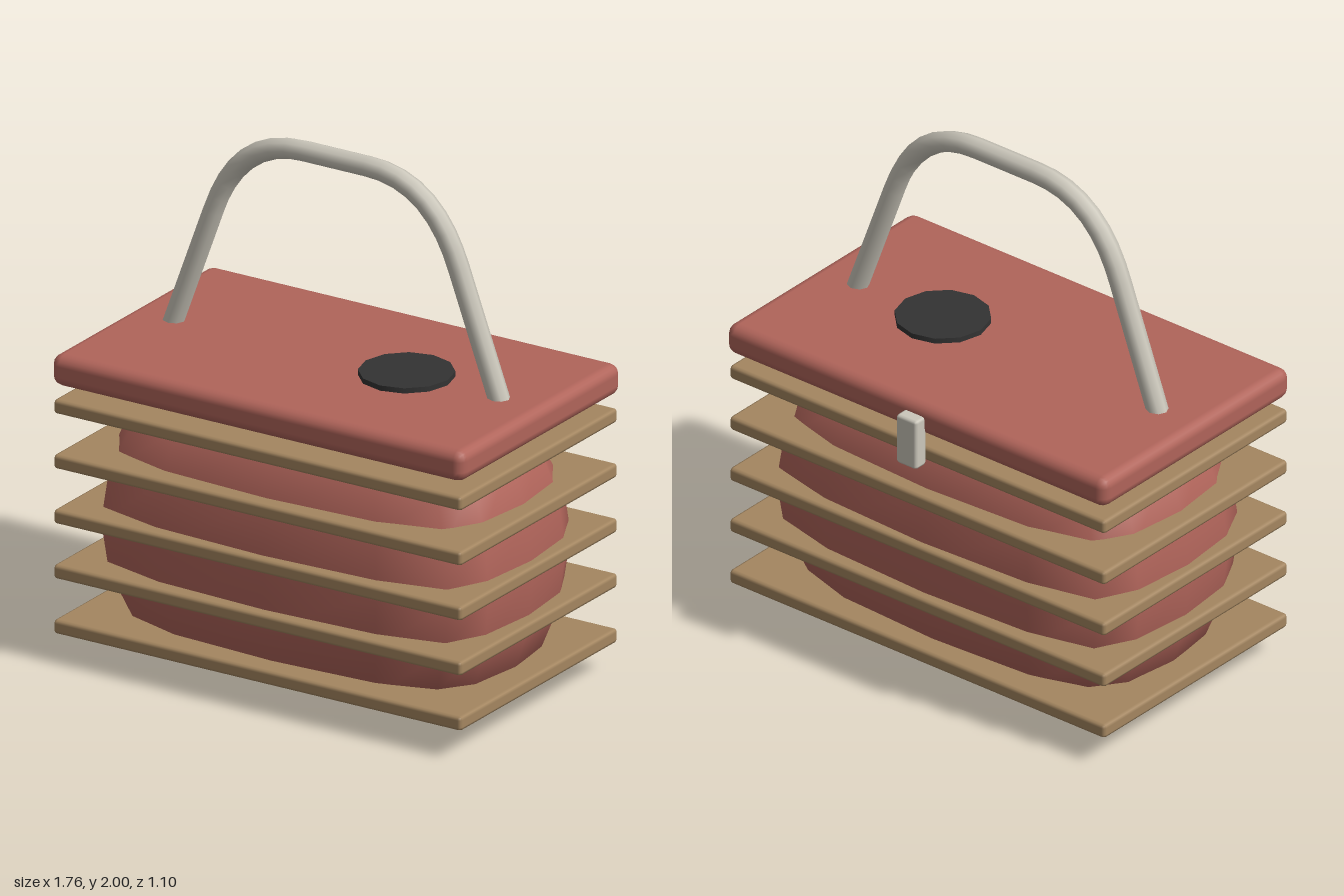
import * as THREE from 'three';
import { mergeVertices } from 'three/addons/utils/BufferGeometryUtils.js';
import { RoundedBoxGeometry } from 'three/addons/geometries/RoundedBoxGeometry.js';

const CZ = 0.022; // depth of the basket's centre

function material(name, color) {
  const m = new THREE.MeshStandardMaterial({ color });
  m.name = name;
  return m;
}

// Puffy box: a coarse cube grid whose edges and corners are drawn inward
function puffyBox(hx, hy, hz) {
  let g = new THREE.BoxGeometry(2, 2, 2, 4, 4, 4);
  g.deleteAttribute('normal');
  g.deleteAttribute('uv');
  g = mergeVertices(g);
  const p = g.attributes.position;
  const spread = (v, mid) => (Math.abs(v) > 0.4 && Math.abs(v) < 0.6 ? Math.sign(v) * mid : v);
  const pull = (k, a, b) => (1 - k * a * a) * (1 - k * b * b);
  for (let i = 0; i < p.count; i++) {
    const x = p.getX(i), y = p.getY(i), z = p.getZ(i);
    p.setXYZ(i,
      hx * spread(x, 0.64) * pull(0.12, y, z),
      hy * spread(y, 0.52) * pull(0.17, x, z),
      hz * spread(z, 0.62) * pull(0.17, x, y));
  }
  g.computeVertexNormals();
  return g;
}

export function createModel() {
  const group = new THREE.Group();
  const red = material('red', 0xb0645a);
  const wood = material('wood', 0xa48660);
  const pale = material('pale grey', 0xcbc7bb);
  const dark = material('charcoal', 0x333333);

  const add = (name, geometry, mat, x, y, z) => {
    const mesh = new THREE.Mesh(geometry, mat);
    mesh.name = name;
    mesh.position.set(x, y, z);
    group.add(mesh);
    return mesh;
  };

  // Body and lid
  add('body', puffyBox(0.84, 0.535, 0.488), red, 0, 0.539, CZ);
  add('lid', new RoundedBoxGeometry(1.76, 0.12, 1.055, 2, 0.04), red, 0, 1.13, CZ);

  // Flat plates stacked around the body
  for (let i = 0; i < 5; i++) {
    add('slat' + (i + 1), new RoundedBoxGeometry(1.74, 0.055, 1.035, 1, 0.014), wood, 0, 0.142 + i * 0.212, CZ + 0.003);
  }

  // Round patch on the lid
  add('lidDisc', new THREE.CylinderGeometry(0.175, 0.175, 0.03, 12), dark, 0.3, 1.195, 0.02);

  // Latch at the back
  add('latch', new RoundedBoxGeometry(0.095, 0.2, 0.06, 1, 0.012), pale, 0, 1.05, -0.523);

  // Carrying handle: straight legs joined by rounded shoulders
  const v = (x, y) => new THREE.Vector3(x, y, 0);
  const path = new THREE.CurvePath();
  path.add(new THREE.LineCurve3(v(-0.755, 1.02), v(-0.52, 1.66)));
  path.add(new THREE.CubicBezierCurve3(v(-0.52, 1.66), v(-0.45, 1.85), v(-0.33, 1.96), v(-0.14, 1.96)));
  path.add(new THREE.LineCurve3(v(-0.14, 1.96), v(0.14, 1.96)));
  path.add(new THREE.CubicBezierCurve3(v(0.14, 1.96), v(0.33, 1.96), v(0.45, 1.85), v(0.52, 1.66)));
  path.add(new THREE.LineCurve3(v(0.52, 1.66), v(0.755, 1.02)));
  add('handle', new THREE.TubeGeometry(path, 40, 0.04, 8), pale, 0, 0, 0.02);

  // Closed ends of the handle
  for (const s of [-1, 1]) {
    const cap = add('handleEnd', new THREE.CircleGeometry(0.04, 8), pale, s * 0.755, 1.02, 0.02);
    cap.lookAt(s * (0.755 + 0.235), 1.02 - 0.64, 0.02);
  }

  return group;
}
